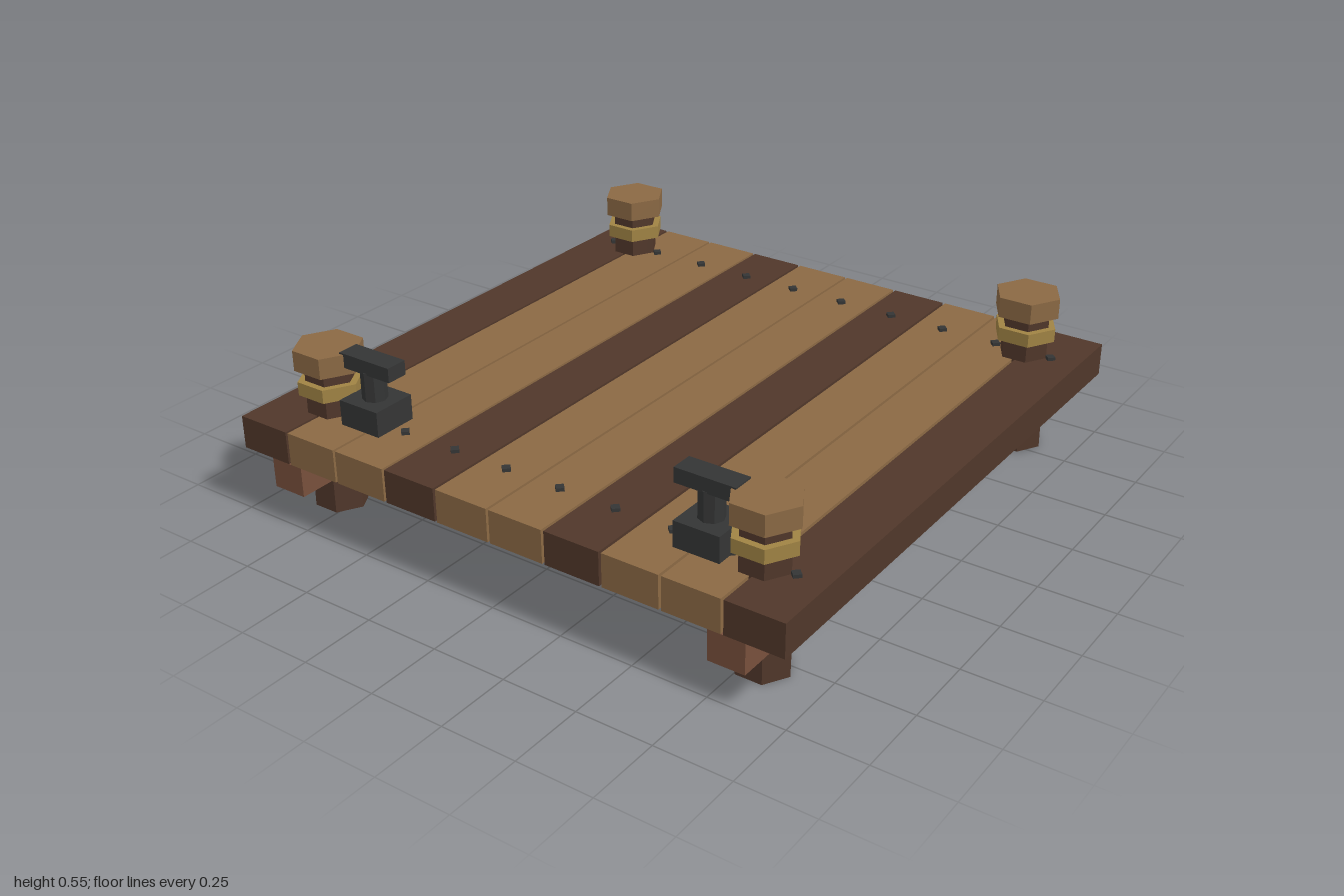
import * as THREE from 'three';

const mat = (name, color) => {
  const m = new THREE.MeshStandardMaterial({ color, flatShading: true });
  m.name = name;
  return m;
};

export function createModel() {
  const lightWood = mat('light wood', 0x8b6944);
  const darkWood = mat('dark wood', 0x50372a);
  const redWood = mat('red brown wood', 0x774f3c);
  const rope = mat('rope', 0xa08344);
  const iron = mat('iron', 0x343535);

  const root = new THREE.Group();
  root.name = 'dock';

  const add = (parent, name, geometry, material, x, y, z) => {
    const mesh = new THREE.Mesh(geometry, material);
    mesh.name = name;
    mesh.position.set(x, y, z);
    parent.add(mesh);
    return mesh;
  };
  const box = (w, y0, y1, d) => new THREE.BoxGeometry(w, y1 - y0, d).translate(0, (y0 + y1) / 2, 0);
  // Prism between two heights; hexagons are turned so a corner points along x
  const prism = (rTop, rBottom, y0, y1, sides) => {
    const g = new THREE.CylinderGeometry(rTop, rBottom, y1 - y0, sides);
    if (sides === 6) g.rotateY(Math.PI / 6);
    return g.translate(0, (y0 + y1) / 2, 0);
  };

  // Deck planks, every third one dark, with a nail at each end
  const plank = box(0.19, 0.22, 0.33, 2);
  const nail = prism(0.018, 0.018, 0.325, 0.341, 4);
  for (let i = 0; i < 10; i++) {
    const x = (i - 4.5) * 0.199;
    add(root, 'plank', plank, i % 3 === 0 ? darkWood : lightWood, x, 0, 0);
    for (const z of [-0.795, 0.795]) add(root, 'nail', nail, iron, x, 0, z);
  }

  // Beams under the deck
  const beam = box(0.12, 0.12, 0.22, 2);
  for (const s of [-1, 1]) add(root, 'beam', beam, redWood, s * 0.81, 0, 0);

  // Corner posts with rope ring and cap
  const shaft = prism(0.08, 0.088, 0, 0.49, 6);
  const ring = prism(0.105, 0.105, 0.395, 0.44, 6);
  const cap = prism(0.111, 0.111, 0.48, 0.548, 6);
  for (const sx of [-1, 1]) {
    for (const sz of [-1, 1]) {
      const post = new THREE.Group();
      post.name = 'post';
      post.position.set(sx * 0.798, 0, sz * 0.795);
      add(post, 'postShaft', shaft, darkWood, 0, 0, 0);
      add(post, 'ropeRing', ring, rope, 0, 0, 0);
      add(post, 'postCap', cap, lightWood, 0, 0, 0);
      root.add(post);
    }
  }

  // Iron mooring cleats beside the front posts
  const cleatBase = box(0.152, 0.33, 0.414, 0.152);
  const cleatStem = prism(0.04, 0.04, 0.41, 0.51, 8);
  const cleatBar = box(0.2, 0.505, 0.553, 0.073);
  for (const s of [-1, 1]) {
    const cleat = new THREE.Group();
    cleat.name = 'cleat';
    cleat.position.set(s * 0.62, 0, 0.788);
    add(cleat, 'cleatBase', cleatBase, iron, 0, 0, 0);
    add(cleat, 'cleatStem', cleatStem, iron, 0, 0, 0);
    add(cleat, 'cleatBar', cleatBar, iron, 0, 0, 0);
    root.add(cleat);
  }

  return root;
}
